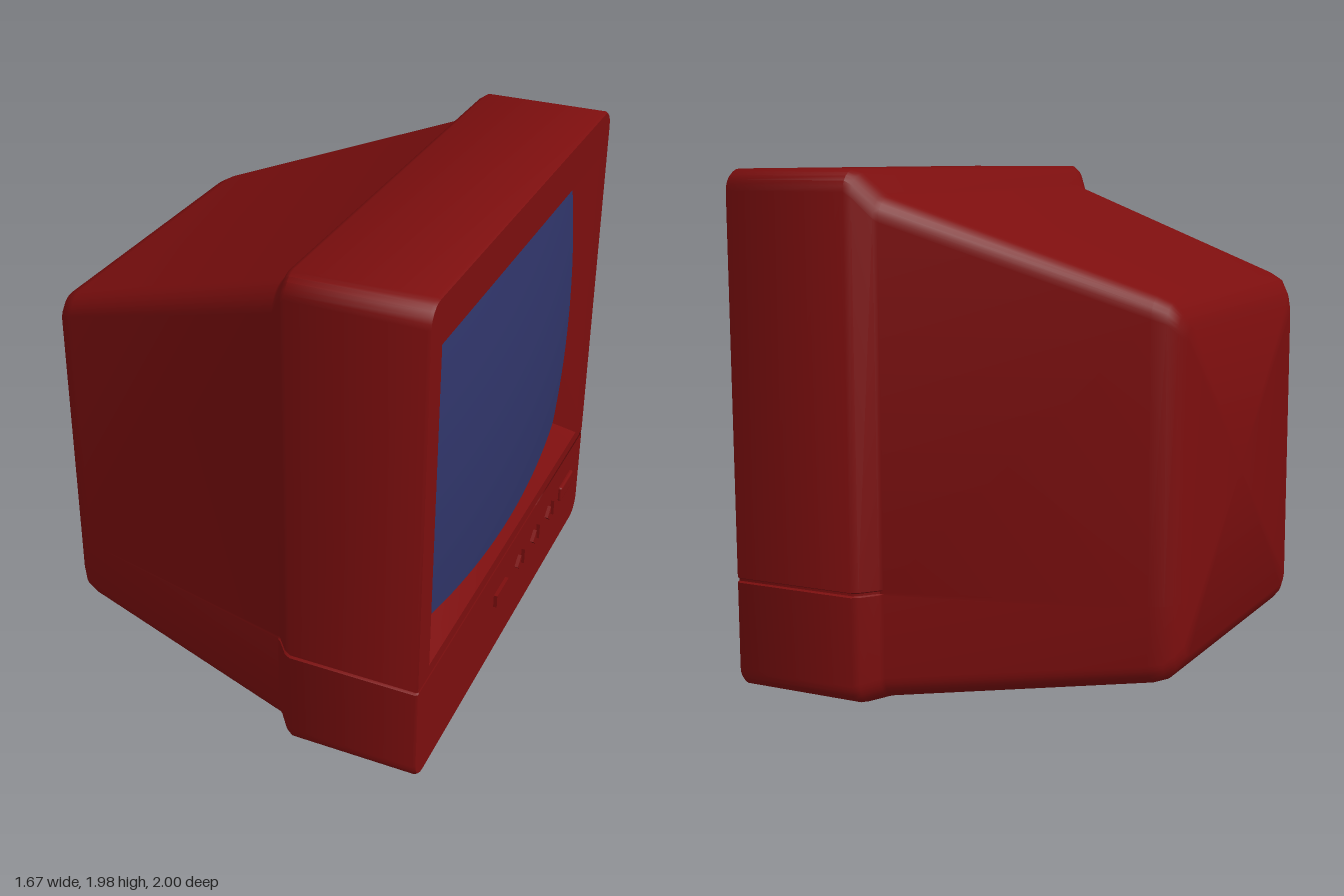
import * as THREE from 'three';
import { toCreasedNormals } from 'three/addons/utils/BufferGeometryUtils.js';
import { RoundedBoxGeometry } from 'three/addons/geometries/RoundedBoxGeometry.js';

const FRONT = 0.82; // plane of the bezel face; the screen looks along +x
const SEAM = [0.419, 0.424, 0.433, 0.438];

const red = new THREE.MeshStandardMaterial({ color: 0x7c0e0e, side: THREE.DoubleSide });
const blue = new THREE.MeshStandardMaterial({ color: 0x30356a });

// Rounded rectangle in (a, y), a = -z, with a seam notch on both upright sides
function ring(y0, y1, half, r, notch) {
  const pts = [];
  const corner = (a, y, start) => {
    for (let i = 0; i <= 6; i++) {
      const t = start + (i / 6) * Math.PI / 2;
      pts.push(new THREE.Vector2(a + r * Math.cos(t), y + r * Math.sin(t)));
    }
  };
  const depth = [0, notch, notch, 0];
  corner(half - r, y0 + r, -Math.PI / 2);
  SEAM.forEach((y, i) => pts.push(new THREE.Vector2(half - depth[i], y)));
  corner(half - r, y1 - r, 0);
  corner(r - half, y1 - r, Math.PI / 2);
  for (let i = 3; i >= 0; i--) pts.push(new THREE.Vector2(depth[i] - half, SEAM[i]));
  corner(r - half, y0 + r, Math.PI);
  return pts;
}

// Skin through rings from back to front, with a closed back
function loft(sections) {
  const pos = [], index = [];
  let n = 0;
  for (const [x, ...shape] of sections) {
    const pts = ring(...shape);
    n = pts.length;
    for (const p of pts) pos.push(x, p.y, -p.x);
  }
  for (let s = 0; s < sections.length - 1; s++) {
    for (let j = 0; j < n; j++) {
      const a = s * n + j, b = s * n + (j + 1) % n;
      index.push(a, b, a + n, b, b + n, a + n);
    }
  }
  const [x, y0, y1] = sections[0];
  const centre = pos.length / 3;
  pos.push(x, (y0 + y1) / 2, 0);
  for (let j = 0; j < n; j++) index.push(centre, (j + 1) % n, j);
  const geo = new THREE.BufferGeometry();
  geo.setAttribute('position', new THREE.Float32BufferAttribute(pos, 3));
  geo.setIndex(index);
  return toCreasedNormals(geo, 0.75);
}

// Moves the vertices of a plane by a rule (u, v) -> point
function mapPlane(w, h, nu, nv, rule) {
  const geo = new THREE.PlaneGeometry(w, h, nu, nv);
  const p = geo.attributes.position;
  for (let i = 0; i < p.count; i++) p.setXYZ(i, ...rule(p.getX(i), p.getY(i)));
  geo.computeVertexNormals();
  return geo;
}

// Bulging tube face with bowed edges, u and v from -1 to 1
const MID = 1.137;
function screenPoint(u, v) {
  const a = u * (0.785 + 0.025 * (1 - v * v));
  const y = v * (0.573 + 0.043 * (1 - u * u));
  return [0.826 - (a * a + y * y) / 11, MID + y, -a];
}

export function createModel() {
  const group = new THREE.Group();
  const add = (name, geo, mat = red) => {
    const mesh = new THREE.Mesh(geo, mat);
    mesh.name = name;
    group.add(mesh);
    return mesh;
  };

  // Tapered back and front surround: x, bottom, top, half width, radius, notch
  add('housing', loft([
    [-0.84, 0.23, 1.43, 0.59, 0.05, 0],
    [-0.82, 0.19, 1.47, 0.635, 0.06, 0],
    [-0.79, 0.155, 1.515, 0.668, 0.07, 0],
    [-0.74, 0.138, 1.542, 0.69, 0.08, 0],
    [0.22, 0.012, 1.878, 0.915, 0.09, 0],
    [0.235, 0.01, 1.89, 0.925, 0.09, 0.01],
    [0.285, 0.002, 1.96, 0.985, 0.085, 0.01],
    [0.31, 0, 1.975, 1, 0.08, 0.01],
    [FRONT - 0.01, 0, 1.975, 1, 0.08, 0.01],
    [FRONT, 0.007, 1.968, 0.993, 0.075, 0.01],
  ]));

  // Front face in two panels, the upper one with the screen opening
  const outline = ring(0.007, 1.968, 0.993, 0.075, 0.01);
  const upper = new THREE.Shape(outline.filter((p) => p.y >= SEAM[3] - 1e-6));
  const lower = new THREE.Shape(outline.filter((p) => p.y <= SEAM[0] + 1e-6));
  const openW = 0.89, openH = 0.658;
  upper.holes.push(new THREE.Path([
    new THREE.Vector2(-openW, MID - openH), new THREE.Vector2(-openW, MID + openH),
    new THREE.Vector2(openW, MID + openH), new THREE.Vector2(openW, MID - openH),
  ]));
  for (const [name, shape] of [['bezelPanel', upper], ['controlPanel', lower]]) {
    add(name, new THREE.ShapeGeometry(shape).rotateY(Math.PI / 2)).position.x = FRONT;
  }
  add('seamFloor', new THREE.BoxGeometry(0.01, 0.03, 1.966)).position.set(FRONT - 0.012, 0.4285, 0);

  // Sloping walls from the opening down to the screen edge
  for (let k = 0; k < 4; k++) {
    add('screenSurround', mapPlane(2, 1, 24, 1, (t, h) => {
      let u = t, v = -1;
      for (let i = 0; i < k; i++) [u, v] = [-v, u];
      return h < 0 ? [FRONT, MID + v * openH, -u * openW] : screenPoint(u, v);
    }));
  }
  add('screen', mapPlane(2, 2, 24, 24, screenPoint), blue);

  // Controls along the lower panel
  const rowY = 0.268;
  add('indicator', new THREE.BoxGeometry(0.03, 0.056, 0.138)).position.set(FRONT, rowY, 0.1);
  add('powerButton', new RoundedBoxGeometry(0.03, 0.07, 0.172, 3, 0.01)).position.set(FRONT, rowY, -0.77);

  const triangle = new THREE.Shape([
    new THREE.Vector2(-0.02, -0.035), new THREE.Vector2(0.022, 0), new THREE.Vector2(-0.02, 0.035),
  ]);
  const arrow = new THREE.ExtrudeGeometry(triangle, { depth: 0.02, bevelEnabled: false })
    .translate(0, 0, -0.005).rotateY(Math.PI / 2);
  for (const z of [-0.153, -0.353, -0.552]) {
    for (const side of [-1, 1]) {
      const button = add('arrowButton', arrow);
      button.position.set(FRONT, rowY, z - side * 0.042);
      // turn the left-hand arrow about the viewing axis
      if (side < 0) button.rotation.x = Math.PI;
    }
  }
  return group;
}
